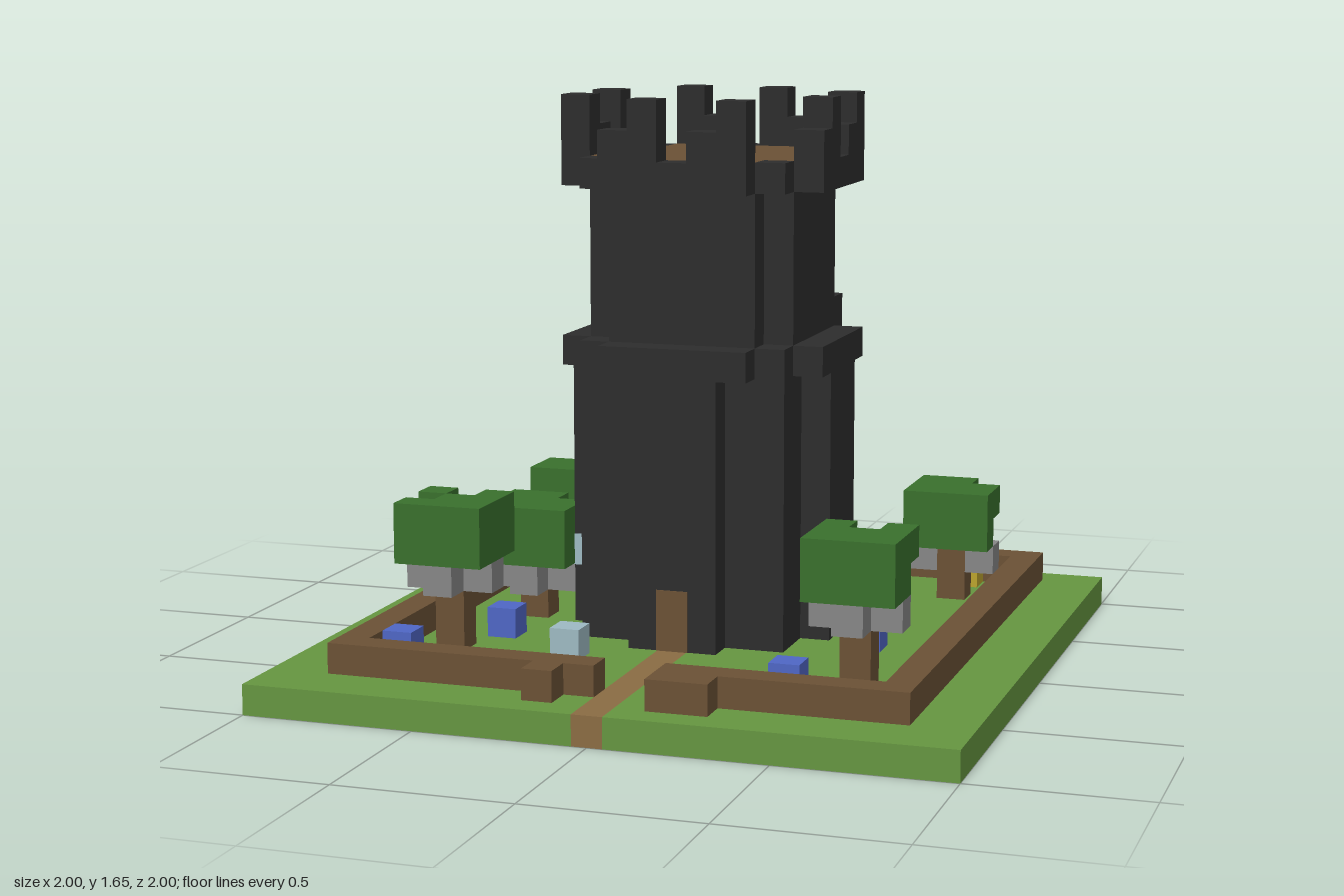
import * as THREE from 'three';
import { mergeGeometries } from 'three/addons/utils/BufferGeometryUtils.js';

// One block of the 23 x 23 block site; blocks are addressed by whole numbers.
const U = 2 / 23;

const paint = (name, color) => {
  const m = new THREE.MeshStandardMaterial({ color });
  m.name = name;
  return m;
};

// Box filling blocks x0..x1, y0..y1, z0..z1 (inclusive); grow makes it slightly proud.
function box(x0, x1, y0, y1, z0, z1, grow = 0) {
  const g = new THREE.BoxGeometry(
    (x1 - x0 + 1) * U + grow, (y1 - y0 + 1) * U + grow, (z1 - z0 + 1) * U + grow);
  g.translate((x0 + x1) / 2 * U, (y0 + y1 + 1) / 2 * U, (z0 + z1) / 2 * U);
  return g;
}
const block = (x, y, z, grow = 0) => box(x, x, y, y, z, z, grow);

export function createModel() {
  const model = new THREE.Group();
  model.name = 'towerGarden';

  const grass = paint('grass', 0x659540);
  const leaf = paint('leaf', 0x39702d);
  const darkStone = paint('darkStone', 0x2d2d2d);
  const wood = paint('wood', 0x6b5135);
  const pathEarth = paint('pathEarth', 0x8a6c43);
  const greyStone = paint('grey', 0x868686);
  const blue = paint('blueFlower', 0x4f66c4);
  const yellow = paint('yellowFlower', 0xbba32e);
  const glass = paint('glass', 0x9db9c2);

  const add = (name, material, geometries, parent = model) => {
    const mesh = new THREE.Mesh(mergeGeometries(geometries), material);
    mesh.name = name;
    parent.add(mesh);
  };

  // Ground, with the tower floor and the path let into it
  const ground = [box(-11, 11, 0, 0, -11, -6)];
  const floor = [];
  for (let z = -5; z <= 3; z++) {
    const w = Math.abs(z + 1) === 4 ? 1 : Math.abs(z + 1) <= 1 ? 4 : 3;
    ground.push(box(-11, -w - 1, 0, 0, z, z), box(w + 1, 11, 0, 0, z, z));
    floor.push(box(-w, w, 0, 0, z, z));
  }
  ground.push(box(-11, -1, 0, 0, 4, 11), box(1, 11, 0, 0, 4, 11));
  add('ground', grass, ground);
  add('towerFloor', wood, floor);
  add('path', pathEarth, [box(0, 0, 0, 0, 4, 11)]);

  // Low garden wall with a gateway
  add('gardenWall', wood, [
    box(-9, 9, 1, 1, -10, -10),
    box(-9, -9, 1, 1, -9, 9), box(9, 9, 1, 1, -9, 9),
    box(-8, -1, 1, 1, 9, 9), box(2, 8, 1, 1, 9, 9),
    block(-2, 1, 10), box(2, 3, 1, 1, 10, 10),
  ]);

  // Tower, centred on block (0, -1)
  const tower = new THREE.Group();
  tower.name = 'tower';
  model.add(tower);
  add('lowerTower', darkStone, [
    box(-3, 3, 1, 9, -4, 2), box(-1, 1, 1, 9, -5, 3), box(-4, 4, 1, 9, -2, 0),
  ], tower);
  add('middleLedge', darkStone, [
    box(-4, 4, 10, 10, -3, 1), box(-3, 3, 10, 10, -4, 2), box(-2, 2, 10, 10, -5, 3),
    block(3, 11, -4),
  ], tower);
  add('upperTower', darkStone, [
    box(-3, 3, 11, 15, -3, 1), box(-2, 2, 11, 15, -4, 2),
  ], tower);
  add('roof', wood, [
    box(-3, 3, 16, 16, -3, 1), box(-2, 2, 16, 16, -4, -4), box(-2, 2, 16, 16, 2, 2),
  ], tower);

  // Parapet: one quarter turned four times, with tall and short merlons
  const parapet = [];
  for (let q = 0; q < 4; q++) {
    const quarter = [
      box(-2, 2, 16, 16, 4, 4), block(3, 16, 3),
      box(2, 2, 17, 18, 4, 4), box(-1, -1, 17, 18, 4, 4),
      block(1, 17, 4), block(-2, 17, 4),
    ];
    for (const g of quarter) {
      g.rotateY(q * Math.PI / 2).translate(0, 0, -U);
      parapet.push(g);
    }
  }
  add('parapet', darkStone, parapet, tower);

  // Door, windows and visible stair ends
  const proud = 0.006;
  add('door', wood, [box(0, 0, 1, 2, 3, 3, proud)], tower);
  add('windows', glass, [
    [4, 3, -1], [-4, 3, 0], [0, 3, -5], [0, 7, -5], [-4, 7, -2], [-3, 13, -2],
  ].map(([x, y, z]) => block(x, y, z, proud)), tower);
  add('stairEnds', wood, [block(2, 8, -4, proud), block(0, 14, -4, proud)], tower);

  // Trees: trunk, grey collar, then two layers of leaves with gaps
  const tree = (name, cx, cz, base, collar, gaps) => {
    const group = new THREE.Group();
    group.name = name;
    model.add(group);
    add('trunk', wood, [box(cx, cx, 1, base, cz, cz)], group);
    add('collar', greyStone, collar.map(([x, z]) => block(cx + x, base - 1, cz + z)), group);
    const leaves = [];
    for (let x = -1; x <= 1; x++) for (let z = -1; z <= 1; z++) for (let y = 0; y < 2; y++) {
      const gap = gaps.some(([gx, gy, gz]) => gx === x && gy === y && gz === z);
      if (!gap && (x || z || y)) leaves.push(block(cx + x, base + y, cz + z));
    }
    add('leaves', leaf, leaves, group);
  };
  const sides = [[-1, 0], [1, 0]];
  const cross = [...sides, [0, -1], [0, 1]];
  tree('backRightTree', -7, -7, 3, sides, [[-1, 0, -1], [-1, 1, -1]]);
  tree('backLeftTree', 7, -7, 3, sides, [[1, 0, -1], [1, 1, -1], [1, 0, 0]]);
  tree('towerTree', -6, 0, 3, cross, [[1, 1, -1]]);
  tree('frontRightTree', -7, 5, 4, [...sides, [0, 1]], [[-1, 0, 0], [-1, 1, 0], [0, 1, -1]]);
  tree('frontLeftTree', 7, 6, 4, cross, [[0, 1, -1], [1, 0, -1]]);

  // Flower blocks and a glass block on the lawn
  const onLawn = (spots) => spots.map(([x, z]) => block(x, 1, z));
  add('blueFlowers', blue, onLawn([[-7, -9], [-4, -7], [6, 1], [-6, 3], [-8, 7], [5, 7]]));
  add('yellowFlowers', yellow, onLawn([[7, -9], [-6, -5]]));
  add('glassBlock', glass, onLawn([[-3, 5]]));

  return model;
}
